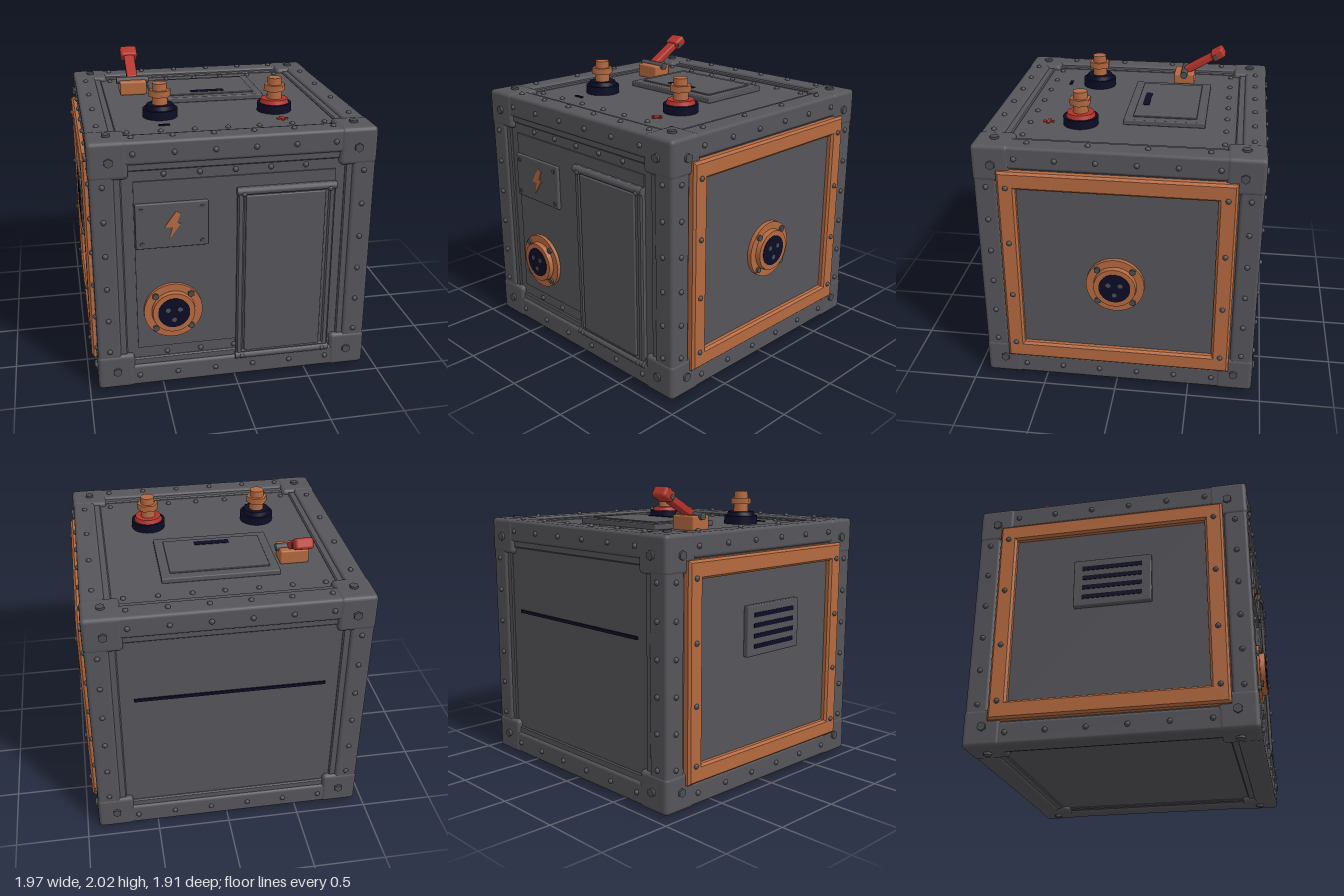
import * as THREE from 'three';
import { RoundedBoxGeometry } from 'three/addons/geometries/RoundedBoxGeometry.js';

const CX = -0.012, CY = 0.89, CZ = -0.01;   // casing centre
const HX = 0.925, HY = 0.87, HZ = 0.925;    // casing half sizes

const mat = (name, color) => Object.assign(new THREE.MeshStandardMaterial({ color }), { name });

export function createModel() {
  const grey = mat('casingGrey', 0x55555a), steel = mat('steelGrey', 0x4c4e52);
  const copper = mat('copper', 0xb4693f), navy = mat('navyInsulator', 0x0c0c26);
  const red = mat('red', 0xb2332b);
  const root = new THREE.Group();
  root.name = 'batteryBox';

  const add = (parent, name, geo, material, x = 0, y = 0, z = 0) => {
    const m = new THREE.Mesh(geo, material);
    m.name = name;
    m.position.set(x, y, z);
    parent.add(m);
    return m;
  };
  const group = (parent, name, x = 0, y = 0, z = 0) => {
    const g = new THREE.Group();
    g.name = name;
    g.position.set(x, y, z);
    parent.add(g);
    return g;
  };
  const rbox = (w, h, d, r = 0.012) => new RoundedBoxGeometry(w, h, d, 2, r);
  // plate resting on a face: x0..x1, y0..y1, from z0 to z0 + t
  const plate = (p, name, m, x0, x1, y0, y1, t, z0 = 0, r = 0.008) =>
    add(p, name, t < 0.012 ? new THREE.BoxGeometry(x1 - x0, y1 - y0, t) : rbox(x1 - x0, y1 - y0, t, Math.min(r, t / 2.2)),
      m, (x0 + x1) / 2, (y0 + y1) / 2, z0 + t / 2);
  // disc lying on a face, axis along local z
  const disc = (p, name, m, r, z0, z1, x = 0, y = 0, sides = 32, r2 = r) => {
    const g = new THREE.CylinderGeometry(r2, r, z1 - z0, sides);
    g.rotateX(Math.PI / 2);
    return add(p, name, g, m, x, y, (z0 + z1) / 2);
  };
  const rivetGeo = new THREE.SphereGeometry(0.018, 12, 5, 0, Math.PI * 2, 0, Math.PI / 2).rotateX(Math.PI / 2);
  const rivets = (p, xs, ys, z = 0) =>
    xs.forEach(x => ys.forEach(y => add(p, 'rivet', rivetGeo, steel, x, y, z)));
  const rectPath = (P, x0, x1, y0, y1) =>
    new P([[x0, y0], [x1, y0], [x1, y1], [x0, y1]].map(a => new THREE.Vector2(...a)));
  const rectFrame = (p, name, m, [x0, x1, y0, y1], w, t, z0, bevel) => {
    const s = rectPath(THREE.Shape, x0 + bevel, x1 - bevel, y0 + bevel, y1 - bevel);
    s.holes.push(rectPath(THREE.Path, x0 + w - bevel, x1 - w + bevel, y0 + w - bevel, y1 - w + bevel));
    return add(p, name, new THREE.ExtrudeGeometry(s, {
      depth: t - bevel, bevelEnabled: true, bevelSize: bevel, bevelThickness: bevel, bevelSegments: 1,
    }), m, 0, 0, z0);
  };

  // casing core, edge beams and corner brackets
  add(root, 'core', new THREE.BoxGeometry(1.82, 2 * HY - 0.06, 2 * HZ - 0.06), grey, CX, CY, CZ);
  const B = 0.155, signs = [-1, 1];
  for (const a of signs) for (const b of signs) {
    add(root, 'edgeBeamX', rbox(2 * HX - 0.1, B, B, 0.022), grey, CX, CY + a * (HY - B / 2), CZ + b * (HZ - B / 2));
    add(root, 'edgeBeamY', rbox(B, 2 * HY - 0.1, B, 0.022), grey, CX + a * (HX - B / 2), CY, CZ + b * (HZ - B / 2));
    add(root, 'edgeBeamZ', rbox(B, B, 2 * HZ - 0.1, 0.022), grey, CX + a * (HX - B / 2), CY + b * (HY - B / 2), CZ);
    for (const c of signs)
      add(root, 'cornerBracket', rbox(0.25, 0.25, 0.25, 0.028), grey,
        CX + a * (HX - 0.12), CY + b * (HY - 0.12), CZ + c * (HZ - 0.12));
  }

  // six faces: local z points outward, z = 0 at the beam surface
  const face = (name, pos, rx, ry) => {
    const g = group(root, name, ...pos);
    g.rotation.set(rx, ry, 0);
    return g;
  };
  const Q = Math.PI / 2;
  const front = face('frontFace', [0, 0, CZ + HZ], 0, 0);
  const back = face('backFace', [0, 0, CZ - HZ], 0, Math.PI);
  const right = face('plusXFace', [CX + HX, 0, 0], 0, Q);
  const left = face('minusXFace', [CX - HX, 0, 0], 0, -Q);
  const top = face('topFace', [0, CY + HY, 0], -Q, 0);
  const bottom = face('bottomFace', [0, CY - HY, 0], Q, 0);

  // beam rivets and corner bolts: [face, centre u, centre v, half u, half v]
  const along = [-0.65, -0.39, -0.13, 0.13, 0.39, 0.65];
  const specs = [[front, CX, CY, HX, HY], [back, -CX, CY, HX, HY], [right, -CZ, CY, HZ, HY],
    [left, CZ, CY, HZ, HY], [top, CX, -CZ, HX, HZ], [bottom, CX, CZ, HX, HZ]];
  for (const [f, u, v, hu, hv] of specs) {
    for (const a of signs) for (const b of signs)
      disc(f, 'cornerBolt', steel, 0.03, 0, 0.02, u + a * (hu - 0.125), v + b * (hv - 0.125), 6);
    if (f === bottom) continue;
    const upright = f === top ? [-0.58, -0.19, 0.19, 0.58] : [-0.59, -0.355, -0.12, 0.115, 0.35, 0.585];
    rivets(f, along.map(d => u + d), signs.map(s => v + s * (hv - 0.08)));
    rivets(f, signs.map(s => u + s * (hu - 0.08)), upright.map(d => v + d));
  }

  // recessed lips around the front, back, top and bottom panels
  for (const [f, u, v, hu, hv] of [specs[0], specs[1], specs[4], specs[5]])
    rectFrame(f, 'panelLip', grey, [u - hu + 0.13, u + hu - 0.13, v - hv + 0.13, v + hv - 0.13], 0.07, 0.018, -0.035, 0.008);

  // round three-pin connector
  const connector = (f, x, y, z) => {
    const g = group(f, 'connector', x, y, z);
    disc(g, 'flange', copper, 0.195, 0, 0.03, 0, 0, 40);
    disc(g, 'collar', copper, 0.145, 0.03, 0.062, 0, 0, 40, 0.14);
    disc(g, 'socket', navy, 0.106, 0.05, 0.065, 0, 0, 32);
    for (const [px, py] of [[-0.04, 0.025], [0.04, 0.025], [0, -0.048]])
      disc(g, 'pin', steel, 0.017, 0.06, 0.07, px, py, 12);
    for (const a of signs) for (const b of signs)
      disc(g, 'flangeBolt', steel, 0.022, 0.025, 0.045, a * 0.118, b * 0.118, 6);
  };

  // front: raised sheet, name plate, connector and door
  plate(front, 'frontSheet', grey, -0.665, 0.65, 0.3, 1.49, 0.01, -0.03);
  rivets(front, [-0.47, -0.24, -0.01, 0.22, 0.45], [0.25, 1.53], -0.03);
  plate(front, 'namePlate', grey, -0.66, -0.19, 1.035, 1.345, 0.025, -0.022);
  for (const x of [-0.62, -0.23]) for (const y of [1.07, 1.305]) disc(front, 'plateScrew', steel, 0.014, 0, 0.01, x, y, 10);
  const bolt = new THREE.Shape([[-0.4, 1.285], [-0.475, 1.18], [-0.425, 1.175], [-0.445, 1.095], [-0.37, 1.2],
    [-0.395, 1.205], [-0.37, 1.27]].map(a => new THREE.Vector2(...a)));
  add(front, 'boltSign', new THREE.ExtrudeGeometry(bolt, { depth: 0.006, bevelEnabled: false }), copper, 0, 0, 0.002);
  connector(front, -0.427, 0.575, -0.025);
  const door = group(front, 'door', 0, 0, -0.03);
  plate(door, 'doorBack', grey, 0.01, 0.64, 0.18, 1.4, 0.025);
  plate(door, 'doorPanel', grey, 0.055, 0.585, 0.21, 1.355, 0.038);
  rectFrame(door, 'doorRim', grey, [0, 0.65, 0.17, 1.41], 0.045, 0.035, 0, 0.01);
  for (const y of [1.385, 0.175]) {
    const rod = add(door, 'doorHingeRod', new THREE.CylinderGeometry(0.025, 0.025, 0.66, 14), grey, 0.325, y, 0.025);
    rod.rotation.z = Q;
  }
  rivets(door, [0.04, 0.61], [0.175, 1.37], 0.04);

  // back: long slit
  plate(back, 'backSlit', navy, -0.62, 0.65, 1.09, 1.112, 0.008, -0.03);

  // sides: copper frames and panels
  for (const f of [right, left]) {
    plate(f, 'sidePanel', grey, -0.72, 0.72, 0.22, 1.56, 0.04, -0.045);
    const s = f === right ? 0.008 : -0.008;
    rectFrame(f, 'sideFrame', copper, [s - 0.765, s + 0.765, 0.18, 1.6], 0.12, 0.066, -0.03, 0.015);
    rivets(f, [s - 0.705, s + 0.705], [0.3, 0.69, 1.09, 1.49], 0.035);
  }
  connector(right, 0, 0.81, -0.005);
  plate(left, 'ventPlate', grey, -0.24, 0.28, 0.92, 1.26, 0.04, -0.005);
  for (let i = 0; i < 4; i++) {
    const y = 0.985 + i * 0.07;
    plate(left, 'ventSlot', navy, -0.18, 0.22, y - 0.015, y + 0.015, 0.006, 0.033);
  }

  // top: hatch, polarity signs and panel rivets
  rivets(top, [-0.67, -0.45, -0.23, -0.01, 0.2, 0.42, 0.64], [-0.645, 0.67], -0.03);
  plate(top, 'hatch', grey, -0.405, 0.38, -0.02, 0.53, 0.038, -0.03);
  plate(top, 'hatchLid', grey, -0.345, 0.32, 0.04, 0.47, 0.012, 0.006);
  plate(top, 'hatchSlot', navy, -0.13, 0.11, 0.08, 0.127, 0.006, 0.015);
  plate(top, 'minusSign', navy, -0.447, -0.373, -0.535, -0.515, 0.008, -0.03);
  plate(top, 'plusSignBar', red, 0.348, 0.422, -0.535, -0.515, 0.008, -0.03);
  plate(top, 'plusSignStem', red, 0.375, 0.395, -0.562, -0.488, 0.008, -0.03);

  // terminals
  for (const [x, ring] of [[-0.408, navy], [0.385, red]]) {
    const t = group(top, 'terminal', x, -0.305, 0);
    disc(t, 'terminalBase', navy, 0.118, -0.03, 0.028);
    disc(t, 'terminalRing', ring, 0.1, 0.028, 0.056, 0, 0, 32, 0.09);
    disc(t, 'terminalPost', copper, 0.052, 0.05, 0.2, 0, 0, 20, 0.048);
    const nut = disc(t, 'terminalNut', copper, 0.075, 0.11, 0.153, 0, 0, 6);
    nut.rotation.z = Math.PI / 6;
  }

  // lever switch, hinged on the axle and tilted back
  const sw = group(root, 'leverSwitch', -0.528, 1.82, -0.325);
  add(sw, 'leverBlock', rbox(0.195, 0.1, 0.15), copper, 0, -0.04, 0);
  add(sw, 'leverAxle', new THREE.CylinderGeometry(0.026, 0.026, 0.235, 16).rotateZ(Q), steel, 0, 0.005, 0);
  const lever = group(sw, 'lever');
  lever.rotation.x = Math.PI / 6;
  add(lever, 'leverArm', rbox(0.078, 0.05, 0.28), red, 0, 0.008, -0.15);
  add(lever, 'leverGrip', rbox(0.124, 0.075, 0.1, 0.02), red, 0, 0.008, -0.287);
  add(lever, 'gripPin', new THREE.CylinderGeometry(0.018, 0.018, 0.13, 12).rotateZ(Q), steel, 0, 0.005, -0.262);
  return root;
}
